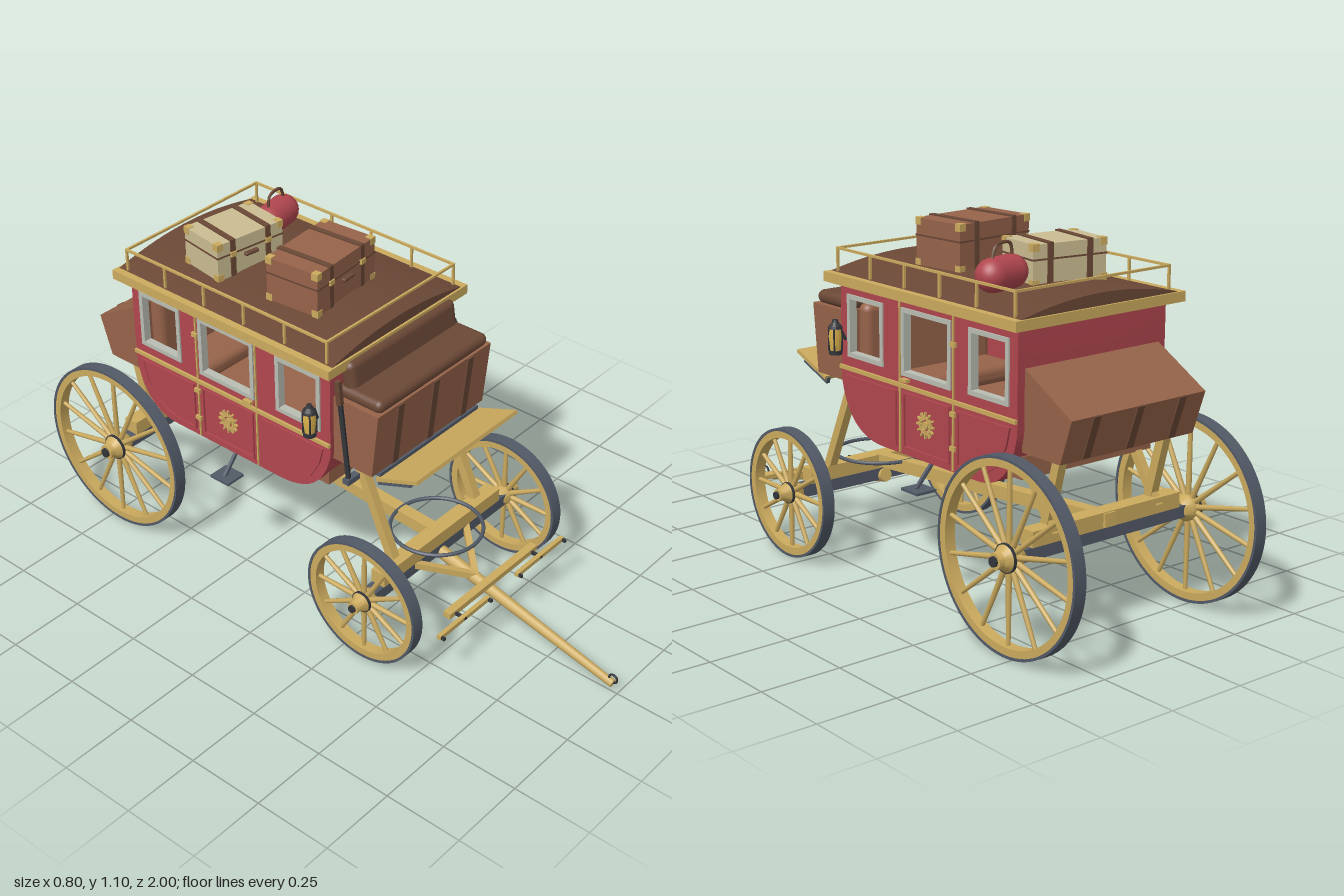
import * as THREE from 'three';
import { toCreasedNormals } from 'three/addons/utils/BufferGeometryUtils.js';
import { RoundedBoxGeometry } from 'three/addons/geometries/RoundedBoxGeometry.js';

const paint = (name, color) => Object.assign(new THREE.MeshStandardMaterial({ color }), { name });
const red = paint('red paint', 0xb0464e), gold = paint('ochre wood', 0xcbaa5e);
const leather = paint('brown leather', 0x96634a), dark = paint('dark leather', 0x6b4836);
const slate = paint('slate iron', 0x525a67), iron = paint('black iron', 0x33353a);
const cream = paint('cream canvas', 0xcbbd92), pale = paint('pale window frame', 0xb9bdb2);
const glow = paint('lamp glass', 0xd9b04c);

function add(parent, name, geo, mat, x = 0, y = 0, z = 0) {
  const m = new THREE.Mesh(geo, mat);
  m.name = name;
  m.position.set(x, y, z);
  parent.add(m);
  return m;
}
function group(parent, name, x = 0, y = 0, z = 0) {
  const g = new THREE.Group();
  g.name = name;
  g.position.set(x, y, z);
  parent.add(g);
  return g;
}
const box = (p, name, mat, w, h, d, x, y, z) => add(p, name, new THREE.BoxGeometry(w, h, d), mat, x, y, z);
const soft = (p, name, mat, w, h, d, r, x, y, z) => add(p, name, new RoundedBoxGeometry(w, h, d, 3, r), mat, x, y, z);
const poly = pts => new THREE.Shape(pts.map(p => new THREE.Vector2(...p)));

// Square beam between two points
function beam(p, name, mat, a, b, w, h = w) {
  const A = new THREE.Vector3(...a), B = new THREE.Vector3(...b);
  const m = box(p, name, mat, w, h, A.distanceTo(B), 0, 0, 0);
  m.position.copy(A).lerp(B, 0.5);
  m.lookAt(B);
  return m;
}
// Extrude a shape drawn in (z, y) across x, centred
function across(shape, width, segs = 12) {
  const g = new THREE.ExtrudeGeometry(shape, { depth: width, bevelEnabled: false, curveSegments: segs });
  return toCreasedNormals(g.translate(0, 0, -width / 2).rotateY(-Math.PI / 2), 0.5);
}
function ring(R, r, width) {
  const s = new THREE.Shape().absarc(0, 0, R, 0, Math.PI * 2);
  s.holes.push(new THREE.Path().absarc(0, 0, r, 0, Math.PI * 2, true));
  return across(s, width, 48);
}
// Outline of given thickness around a rectangle z0..z1, y0..y1
function frame(z0, z1, y0, y1, t) {
  const s = poly([[z0, y0], [z1, y0], [z1, y1], [z0, y1]]);
  s.holes.push(poly([[z0 + t, y0 + t], [z0 + t, y1 - t], [z1 - t, y1 - t], [z1 - t, y0 + t]]));
  return s;
}

// Spoked wheel, axis along x
function wheel(p, name, R, spokes, x, z) {
  const w = group(p, name, x, R, z), s = Math.sign(x), k = R > 0.25 ? 1 : 0.8;
  add(w, 'tyre', ring(R, R - 0.008, 0.04), slate);
  add(w, 'rim', ring(R - 0.008, R - 0.03, 0.036), gold);
  for (let i = 0; i < spokes; i++) {
    const a = i / spokes * Math.PI * 2, L = R - 0.05;
    const g = new THREE.CylinderGeometry(0.0065, 0.009, L, 8).translate(0, L / 2 + 0.025, 0).rotateX(a);
    add(w, 'spoke', g, gold);
  }
  const hub = [[0, -0.04], [0.024, -0.04], [0.04, -0.015], [0.04, 0.015], [0.025, 0.035], [0.024, 0.052], [0, 0.052]]
    .map(([r, h]) => new THREE.Vector2(r * k, h));
  add(w, 'hub', toCreasedNormals(new THREE.LatheGeometry(hub, 20).rotateZ(-s * Math.PI / 2), 0.6), gold);
  add(w, 'hubBand', ring(0.042 * k, 0.03 * k, 0.008), iron, s * 0.012);
  add(w, 'hubCap', new THREE.CylinderGeometry(0.015 * k, 0.015 * k, 0.012, 14).rotateZ(Math.PI / 2), iron, s * 0.054);
}

function bodyProfile() {
  return new THREE.Shape().moveTo(0.134, 0.895).lineTo(0.134, 0.6).quadraticCurveTo(0.1, 0.43, -0.07, 0.43)
    .lineTo(-0.5, 0.43).quadraticCurveTo(-0.64, 0.43, -0.668, 0.6).lineTo(-0.668, 0.895);
}
const windows = [[-0.075, 0.098, 0.672, 0.862], [-0.387, -0.163, 0.666, 0.866], [-0.635, -0.465, 0.672, 0.862]];

function buildCabin(p) {
  const c = group(p, 'cabin');
  // Wrap-around end walls, ceiling and belly
  const shell = bodyProfile();
  shell.holes.push(new THREE.Path(bodyProfile().getPoints(10).map(v =>
    new THREE.Vector2((v.x + 0.267) * 0.95 - 0.267, (v.y - 0.66) * 0.93 + 0.66))));
  add(c, 'shell', across(shell, 0.515), red);
  for (const s of [-1, 1]) {
    const wall = bodyProfile();
    for (const [a, b, y0, y1] of windows) {
      wall.holes.push(poly([[a, y0], [a, y1], [b, y1], [b, y0]]));
      add(c, 'windowFrame', across(frame(a, b, y0, y1, 0.014), 0.026), pale, s * 0.267);
    }
    add(c, 'sideWall', across(wall, 0.018), red, s * 0.266);
    box(c, 'beltMoulding', gold, 0.01, 0.012, 0.802, s * 0.278, 0.636, -0.267);
    for (const z of [-0.155, -0.398]) box(c, 'doorEdge', gold, 0.006, 0.455, 0.005, s * 0.277, 0.662, z);
    for (const y of [0.5, 0.6, 0.8]) box(c, 'doorHinge', gold, 0.012, 0.014, 0.022, s * 0.278, y, -0.4);
    box(c, 'doorHandle', gold, 0.016, 0.01, 0.03, s * 0.282, 0.655, -0.185);
    // Raised lower panels
    add(c, 'doorPanel', across(frame(-0.383, -0.17, 0.45, 0.618, 0.007), 0.008), red, s * 0.277);
    for (const [z, d] of [[0.108, -1], [-0.642, 1]]) {
      const end = d < 0 ? -0.138 : -0.415;
      const pts = [[z, 0.615], [z + d * 0.015, 0.555], [z + d * 0.05, 0.495], [z + d * 0.1, 0.462], [z + d * 0.15, 0.45], [end, 0.45], [end, 0.615]];
      const cz = (z + end) / 2, panel = poly(pts);
      panel.holes.push(poly(pts.map(([u, v]) => [(u - cz) * 0.94 + cz, (v - 0.535) * 0.91 + 0.535])));
      add(c, 'cornerPanel', across(panel, 0.008), red, s * 0.277);
    }
    // Sunburst ornament on the door
    const e = group(c, 'sunburst', s * 0.278, 0.54, -0.275);
    add(e, 'sunCentre', new THREE.CylinderGeometry(0.012, 0.012, 0.009, 16).rotateZ(Math.PI / 2), gold);
    for (let i = 0; i < 12; i++) {
      const g = new THREE.BoxGeometry(0.008, 0.022, 0.006).translate(0, 0.028, 0).rotateX(i * Math.PI / 6);
      add(e, 'sunRay', g, gold);
    }
    add(e, 'sunRing', ring(0.026, 0.021, 0.008), gold);
    // Folding step
    beam(c, 'stepArm', slate, [s * 0.235, 0.44, -0.27], [s * 0.31, 0.355, -0.27], 0.01);
    box(c, 'stepPlate', slate, 0.07, 0.008, 0.075, s * 0.3, 0.352, -0.27);
    // Lantern
    const l = group(c, 'lantern', s * 0.323, 0.735, 0.098);
    const lathe = pts => toCreasedNormals(new THREE.LatheGeometry(pts.map(q => new THREE.Vector2(...q)), 12), 0.6);
    add(l, 'lampGlass', lathe([[0, -0.04], [0.015, -0.04], [0.02, 0.005], [0.016, 0.03], [0, 0.03]]), glow);
    add(l, 'lampCap', lathe([[0, 0.028], [0.022, 0.028], [0.02, 0.036], [0.01, 0.046], [0.008, 0.055], [0, 0.055]]), iron);
    add(l, 'lampBase', lathe([[0, -0.05], [0.02, -0.05], [0.02, -0.038], [0, -0.038]]), iron);
    for (let i = 0; i < 4; i++) {
      const a = i * Math.PI / 2 + 0.8;
      box(l, 'lampBar', iron, 0.004, 0.07, 0.004, Math.cos(a) * 0.0195, -0.005, Math.sin(a) * 0.0195);
    }
    beam(l, 'lampBracket', iron, [0, 0, 0], [-s * 0.05, 0, 0], 0.008).position.y = 0.012;
  }
  // Benches and seat backs inside, leather underside
  for (const [z, d] of [[0.08, -1], [-0.615, 1]]) {
    soft(c, 'seatBack', leather, 0.48, 0.28, 0.055, 0.025, 0, 0.69, z);
    soft(c, 'bench', leather, 0.48, 0.06, 0.16, 0.025, 0, 0.58, z + d * 0.08);
  }
  box(c, 'underBox', leather, 0.49, 0.065, 0.755, 0, 0.497, -0.277);
}

function buildRoof(p) {
  const r = group(p, 'roof');
  box(r, 'roofTrim', gold, 0.63, 0.03, 0.87, 0, 0.909, -0.27);
  const dome = new THREE.Shape().moveTo(-0.308, 0.92).lineTo(0.308, 0.92).quadraticCurveTo(0.15, 0.96, 0, 0.96).quadraticCurveTo(-0.15, 0.96, -0.308, 0.92);
  const g = new THREE.ExtrudeGeometry(dome, { depth: 0.856, bevelEnabled: false });
  add(r, 'roofDome', toCreasedNormals(g, 0.5), dark, 0, 0, -0.698);
  // Luggage rail
  for (const s of [-1, 1]) {
    box(r, 'sideRail', gold, 0.007, 0.007, 0.807, s * 0.285, 0.995, -0.267);
    box(r, 'endRail', gold, 0.575, 0.007, 0.007, 0, 0.995, -0.267 + s * 0.4);
    for (let i = 0; i < 6; i++) box(r, 'railPost', gold, 0.007, 0.075, 0.007, s * 0.285, 0.958, 0.133 - i * 0.16);
  }
}

function suitcase(p, name, mat, w, h, d, x, y, z, turn) {
  const g = group(p, name, x, y + h / 2, z);
  g.rotation.y = turn;
  box(g, 'case', mat, w, h, d, 0, 0, 0);
  box(g, 'lidSeam', dark, w + 0.004, 0.005, d + 0.004, 0, h * 0.14, 0);
  for (const s of [-1, 1]) {
    box(g, 'strap', dark, 0.018, h + 0.008, d + 0.008, s * w * 0.27, 0, 0);
    box(g, 'clasp', gold, 0.02, 0.016, 0.008, s * w * 0.27, h * 0.14, d / 2 + 0.004);
    for (const t of [-1, 1]) for (const u of [-1, 1])
      box(g, 'cornerCap', gold, 0.022, 0.022, 0.022, s * (w / 2 - 0.009), t * (h / 2 - 0.009), u * (d / 2 - 0.009));
  }
  soft(g, 'carryHandle', dark, 0.05, 0.012, 0.016, 0.005, 0, 0, d / 2 + 0.005);
}

function buildLuggage(p) {
  suitcase(p, 'brownTrunk', leather, 0.28, 0.14, 0.185, -0.02, 0.952, -0.122, 0.08);
  suitcase(p, 'creamSuitcase', cream, 0.245, 0.12, 0.16, -0.055, 0.95, -0.44, -0.15);
  const b = group(p, 'redBag', 0.165, 0.998, -0.47);
  b.rotation.y = 0.18;
  add(b, 'bagBody', new THREE.CapsuleGeometry(0.049, 0.08, 8, 20).rotateZ(Math.PI / 2), red);
  const path = new THREE.CatmullRomCurve3([[-0.045, 0.04], [-0.035, 0.08], [0.025, 0.08], [0.045, 0.04]].map(([x, y]) => new THREE.Vector3(x, y, 0)));
  add(b, 'bagHandle', new THREE.TubeGeometry(path, 16, 0.005, 6), dark);
}

function buildBoots(p) {
  // Front boot with driver's seat
  const f = group(p, 'frontBoot');
  add(f, 'bootBox', across(poly([[0.13, 0.8], [0.13, 0.585], [0.278, 0.585], [0.3, 0.8]]), 0.52), leather);
  add(f, 'footFloor', new THREE.BoxGeometry(0.46, 0.012, 0.16), slate, 0, 0.578, 0.205);
  for (const x of [-0.16, 0, 0.16]) beam(f, 'bootStrap', dark, [x, 0.588, 0.279], [x, 0.798, 0.301], 0.026, 0.008);
  soft(f, 'seatCushion', dark, 0.5, 0.042, 0.165, 0.02, 0, 0.818, 0.217);
  soft(f, 'seatRest', dark, 0.48, 0.11, 0.05, 0.022, 0, 0.86, 0.165).rotation.x = -0.15;
  beam(f, 'footboard', gold, [0, 0.562, 0.275], [0, 0.62, 0.425], 0.475, 0.012);
  for (const s of [-1, 1]) beam(f, 'footBracket', slate, [s * 0.225, 0.552, 0.275], [s * 0.225, 0.598, 0.395], 0.012, 0.02);
  // Brake lever
  beam(f, 'brakeLever', iron, [-0.312, 0.585, 0.235], [-0.321, 0.85, 0.212], 0.012);
  beam(f, 'brakeGrip', dark, [-0.321, 0.84, 0.212], [-0.322, 0.915, 0.205], 0.016);
  box(f, 'brakePivot', slate, 0.05, 0.018, 0.022, -0.3, 0.583, 0.235);
  // Rear boot with straps following its lid and back
  const r = group(p, 'rearBoot');
  add(r, 'bootBox', across(poly([[-0.66, 0.785], [-0.855, 0.675], [-0.812, 0.545], [-0.66, 0.545]]), 0.5), leather);
  for (const x of [-0.16, 0, 0.16]) beam(r, 'bootStrap', dark, [x, 0.55, -0.814], [x, 0.675, -0.856], 0.026, 0.008);
}

function buildUndercarriage(p) {
  const u = group(p, 'undercarriage');
  for (const s of [-1, 1]) {
    wheel(u, 'rearWheel', 0.2825, 14, s * 0.342, -0.717);
    wheel(u, 'frontWheel', 0.204, 12, s * 0.342, 0.32);
    beam(u, 'frontPost', gold, [s * 0.197, 0.27, 0.31], [s * 0.197, 0.575, 0.175], 0.028);
    beam(u, 'rearPost', gold, [s * 0.197, 0.32, -0.7], [s * 0.197, 0.56, -0.76], 0.028);
    beam(u, 'rearBrace', gold, [s * 0.197, 0.32, -0.735], [s * 0.197, 0.5, -0.62], 0.024);
    beam(u, 'tongueBrace', gold, [s * 0.13, 0.215, 0.33], [0, 0.165, 0.47], 0.02);
    box(u, 'singletree', gold, 0.236, 0.014, 0.014, s * 0.188, 0.176, 0.572);
    beam(u, 'treeLink', iron, [s * 0.188, 0.176, 0.53], [s * 0.188, 0.176, 0.58], 0.009);
    for (const x of [0.075, 0.3]) box(u, 'traceHook', iron, 0.008, 0.01, 0.025, s * x, 0.176, 0.578);
  }
  // Axles and bolsters
  box(u, 'rearAxle', slate, 0.65, 0.036, 0.045, 0, 0.2825, -0.717);
  box(u, 'rearBolster', gold, 0.56, 0.046, 0.05, 0, 0.324, -0.717);
  box(u, 'frontAxle', slate, 0.65, 0.038, 0.045, 0, 0.204, 0.32);
  box(u, 'frontBolster', gold, 0.56, 0.045, 0.05, 0, 0.247, 0.32);
  add(u, 'turningRing', new THREE.TorusGeometry(0.142, 0.006, 8, 40).rotateX(Math.PI / 2), slate, 0, 0.275, 0.318);
  beam(u, 'reachBeam', gold, [0, 0.248, 0.34], [0, 0.325, -0.75], 0.04);
  // Draught pole and crossbar
  const pole = add(u, 'pole', new THREE.CylinderGeometry(0.013, 0.022, 0.72, 12).rotateX(Math.PI / 2), gold, 0, 0.116, 0.633);
  pole.rotation.x = Math.atan2(0.173, 0.7);
  add(u, 'poleRing', new THREE.TorusGeometry(0.014, 0.0035, 6, 16).rotateY(Math.PI / 2), iron, 0, 0.048, 0.982);
  box(u, 'doubletree', gold, 0.43, 0.018, 0.026, 0, 0.178, 0.53);
}

export function createModel() {
  const coach = new THREE.Group();
  coach.name = 'stagecoach';
  buildCabin(coach);
  buildRoof(coach);
  buildLuggage(coach);
  buildBoots(coach);
  buildUndercarriage(coach);
  return coach;
}
